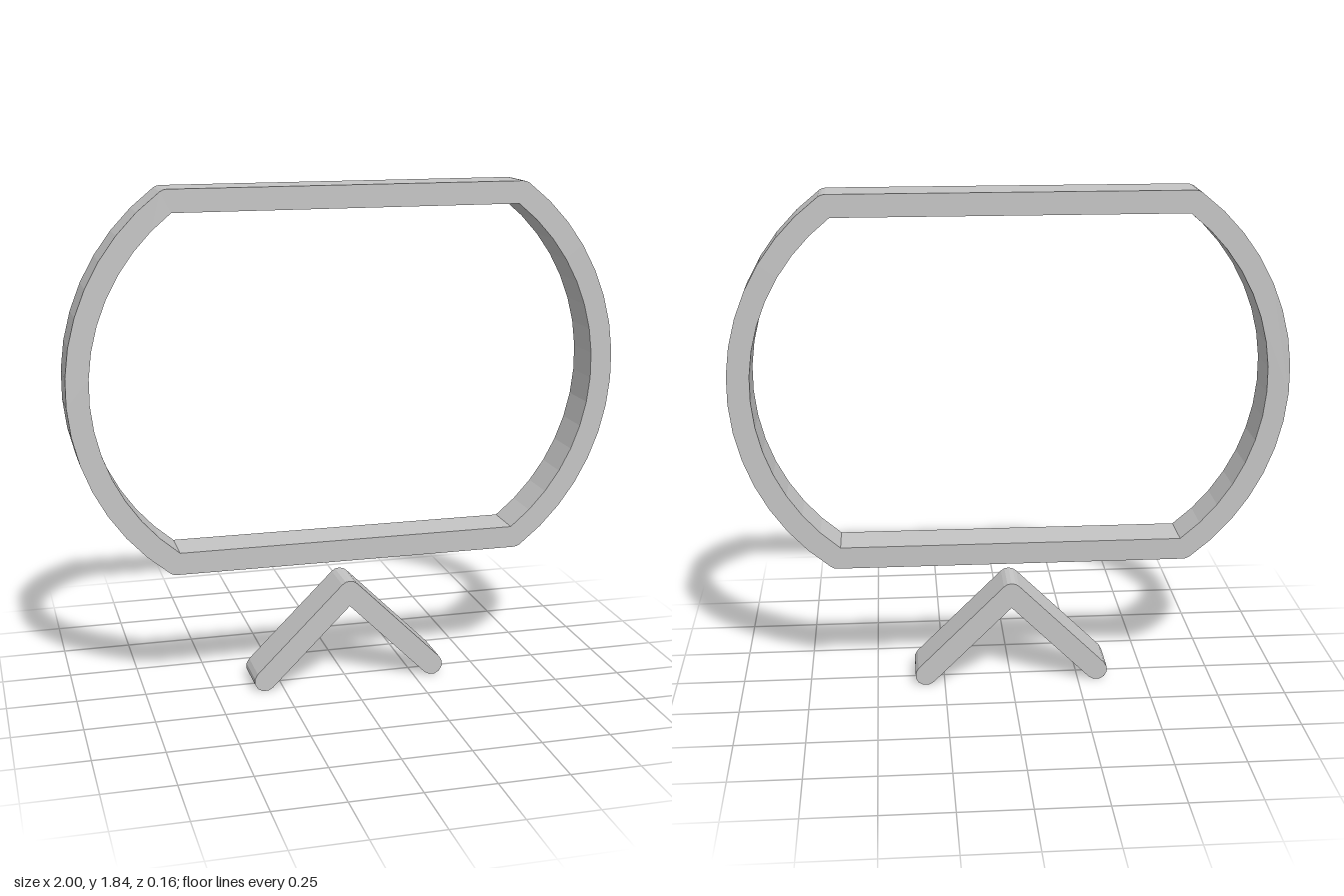
import * as THREE from 'three';

const DEPTH = 0.16;
const HALF = 0.04; // half the stroke width

// Points along an arc, both ends included
function arc(cx, cy, r, a0, a1, n) {
  return Array.from({ length: n + 1 }, (_, i) => {
    const a = a0 + ((a1 - a0) * i) / n;
    return new THREE.Vector2(cx + r * Math.cos(a), cy + r * Math.sin(a));
  });
}

function extrude(shape, material, name) {
  const geometry = new THREE.ExtrudeGeometry(shape, { depth: DEPTH, bevelEnabled: false });
  geometry.translate(0, 0, -DEPTH / 2);
  const mesh = new THREE.Mesh(geometry, material);
  mesh.name = name;
  return mesh;
}

export function createModel() {
  const group = new THREE.Group();
  group.name = 'framedStand';
  const grey = new THREE.MeshStandardMaterial({ color: 0xc4c4c4, flatShading: true });
  grey.name = 'light grey';

  // Ring: straight top and bottom joined by bowed sides
  const cy = 1.16, cornerX = 0.635, cornerY = 0.64, bow = 0.96 - cornerX;
  const R = (bow * bow + cornerY * cornerY) / (2 * bow);
  const cx = 0.96 - R;
  const aOut = Math.asin(cornerY / R);
  const aIn = Math.asin((cornerY - HALF) / (R - HALF));
  const half = Math.PI / 2;

  const outerRight = [
    ...arc(cornerX, cy - cornerY, HALF, -half, -aOut, 2).slice(0, -1),
    ...arc(cx, cy, R + HALF, -aOut, aOut, 15),
    ...arc(cornerX, cy + cornerY, HALF, aOut, half, 2).slice(1),
  ];
  const innerRight = arc(cx, cy, R - HALF, -aIn, aIn, 15);
  // Complete a right-hand outline with its half-turn about the ring centre
  const bothSides = (pts) => [...pts, ...pts.map((p) => new THREE.Vector2(-p.x, 2 * cy - p.y))];

  const ring = new THREE.Shape(bothSides(outerRight));
  ring.holes.push(new THREE.Path(bothSides(innerRight)));
  group.add(extrude(ring, grey, 'ringFrame'));

  // Foot: an inverted V with rounded tip and ends
  const footX = 0.32, footY = 0.042, tipY = 0.36;
  const slope = Math.atan2(tipY - footY, footX);
  const normal = half - slope; // outward normal angle of the right leg
  const foot = new THREE.Shape([
    ...arc(footX, footY, HALF, normal - Math.PI, normal, 6),
    ...arc(0, tipY, HALF, normal, Math.PI - normal, 4),
    ...arc(-footX, footY, HALF, Math.PI - normal, 2 * Math.PI - normal, 6),
    new THREE.Vector2(0, tipY - HALF / Math.cos(slope)),
  ]);
  group.add(extrude(foot, grey, 'foot'));

  return group;
}
